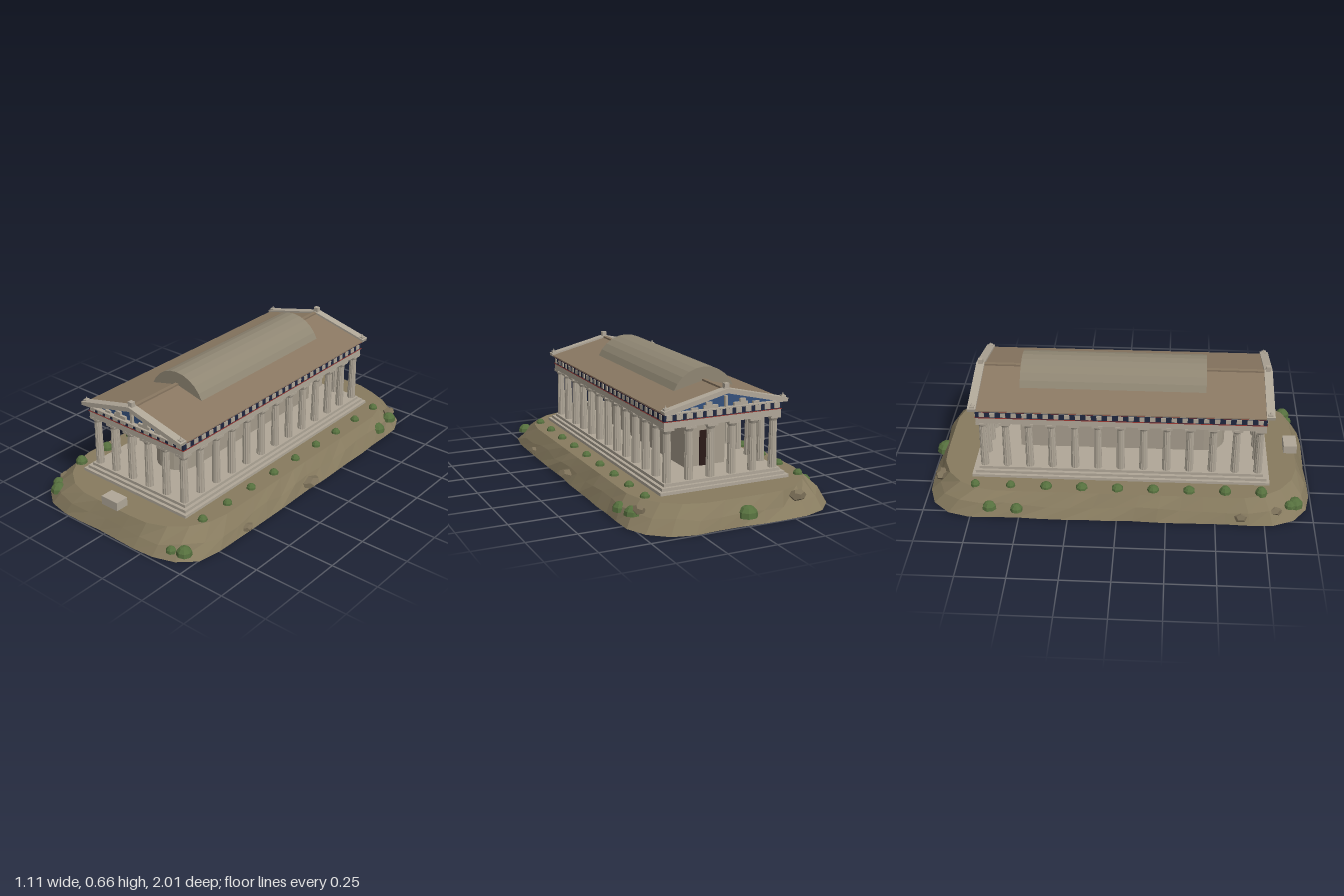
import * as THREE from 'three';

const mat = (color, side = THREE.FrontSide) => new THREE.MeshStandardMaterial({ color, side, flatShading: true });
const M = {
  stone: mat(0xb0a798), wall: mat(0xa59c8c), roof: mat(0x8a7862), vault: mat(0x8f8673), earth: mat(0x877b5f, THREE.DoubleSide),
  rock: mat(0x7d7159), green: mat(0x56703e, THREE.DoubleSide), blue: mat(0x34507c), navy: mat(0x1f2740), red: mat(0x94352f), door: mat(0x2a1a18),
};

let seed = 7;
const rnd = () => (seed = (seed * 16807) % 2147483647) / 2147483647;

function add(parent, name, geo, material, x = 0, y = 0, z = 0) {
  const m = new THREE.Mesh(geo, material);
  m.name = name;
  m.position.set(x, y, z);
  parent.add(m);
  return m;
}
// Box given by its bottom height
const box = (p, name, w, h, d, material, x, y, z) =>
  add(p, name, new THREE.BoxGeometry(w, h, d), material, x, y + h / 2, z);

// Profile in x-y, extruded from z0 to z1
function prism(p, name, pts, z0, z1, material) {
  const s = new THREE.Shape(pts.map(([x, y]) => new THREE.Vector2(x, y)));
  return add(p, name, new THREE.ExtrudeGeometry(s, { depth: z1 - z0, bevelEnabled: false }), material, 0, 0, z0);
}

// Hollow rounded mound, open below, lofted through rings: half width, half length, corner radius, height, roughness
function moundGeometry() {
  const N = 48, pos = [], idx = [];
  const rings = [[0.535, 0.99, 0.24, 0, 0.008], [0.507, 0.962, 0.27, 0.06, 0.012], [0.468, 0.928, 0.31, 0.12, 0]];
  for (const [w, l, r, y, rough] of rings) {
    const path = new THREE.Path();
    [[1, 1], [-1, 1], [-1, -1], [1, -1]].forEach(([sx, sz], k) =>
      path.absarc(sx * (w - r), sz * (l - r), r, k * Math.PI / 2, (k + 1) * Math.PI / 2, false));
    path.closePath();
    path.getSpacedPoints(N).slice(0, N).forEach((q) => {
      const j = 1 + (rnd() - 0.5) * 2 * rough;
      pos.push(q.x * j, y + (y ? (rnd() - 0.5) * rough * 2 : 0), q.y * j);
    });
  }
  const last = (rings.length - 1) * N, top = rings.length * N;
  pos.push(0, 0.12, 0);
  for (let i = 0; i < N; i++) {
    const n = (i + 1) % N;
    for (let k = 0; k < last; k += N) idx.push(k + i, k + N + i, k + n, k + n, k + N + i, k + N + n);
    idx.push(top, last + n, last + i);
  }
  const g = new THREE.BufferGeometry();
  g.setAttribute('position', new THREE.Float32BufferAttribute(pos, 3));
  g.setIndex(idx);
  g.computeVertexNormals();
  return g;
}

// Fluted, tapering shaft: every other edge is pulled inward
function shaftGeometry(h) {
  const g = new THREE.CylinderGeometry(0.0185, 0.022, h, 24, 1, true), p = g.attributes.position;
  for (let i = 0; i < p.count; i++) {
    const k = (i % 25) % 2 ? 0.9 : 1;
    p.setX(i, p.getX(i) * k);
    p.setZ(i, p.getZ(i) * k);
  }
  g.computeVertexNormals();
  return g;
}

export function createModel() {
  seed = 7;
  const model = new THREE.Group();
  add(model, 'mound', moundGeometry(), M.earth, -0.005);
  box(model, 'altarBlock', 0.105, 0.045, 0.07, M.stone, -0.01, 0.12, 0.905);

  const temple = new THREE.Group();
  temple.name = 'temple';
  temple.position.set(-0.01, 0, 0.01);
  model.add(temple);

  // Stepped platform
  [[0.349, 0.768], [0.333, 0.752], [0.316, 0.735]].forEach(([x, z], i) =>
    box(temple, 'step', 2 * x, 0.015, 2 * z, M.stone, 0, 0.12 + i * 0.015, 0));

  // Colonnade, 6 by 13
  const shaft = shaftGeometry(0.24), echinus = new THREE.CylinderGeometry(0.026, 0.0185, 0.016, 16);
  const abacus = new THREE.BoxGeometry(0.056, 0.012, 0.056);
  for (let i = 0; i < 6; i++) for (let j = 0; j < 13; j++) {
    if (i % 5 && j % 12) continue;
    const c = new THREE.Group();
    c.name = 'column';
    c.position.set((i - 2.5) * 0.1153, 0.165, (j - 6) * 0.1178);
    add(c, 'shaft', shaft, M.stone, 0, 0.12, 0);
    add(c, 'echinus', echinus, M.stone, 0, 0.246, 0);
    add(c, 'abacus', abacus, M.stone, 0, 0.26, 0);
    temple.add(c);
  }

  // Inner hall with rounded front and a door at the back
  box(temple, 'hall', 0.224, 0.265, 0.97, M.wall, 0, 0.165, -0.055);
  add(temple, 'hallRoundedFront', new THREE.CylinderGeometry(0.112, 0.112, 0.265, 24), M.wall, 0, 0.2975, 0.43);
  box(temple, 'backDoor', 0.06, 0.18, 0.008, M.door, 0, 0.165, -0.54);

  // Entablature
  box(temple, 'architrave', 0.63, 0.033, 1.468, M.stone, 0, 0.43, 0);
  box(temple, 'lowerBand', 0.638, 0.003, 1.476, M.red, 0, 0.463, 0);
  box(temple, 'frieze', 0.632, 0.035, 1.47, M.navy, 0, 0.466, 0);
  box(temple, 'upperBand', 0.642, 0.004, 1.48, M.red, 0, 0.501, 0);
  box(temple, 'cornice', 0.65, 0.006, 1.53, M.stone, 0, 0.505, 0);
  for (const s of [-1, 1]) {
    for (let i = 0; i < 12; i++)
      box(temple, 'metope', 0.031, 0.026, 0.008, M.stone, (i - 5.5) * 0.0525, 0.47, s * 0.735);
    for (let i = 0; i < 27; i++)
      box(temple, 'metope', 0.008, 0.024, 0.026, M.stone, s * 0.316, 0.471, (i - 13) * 0.054);
  }

  // Gabled roof, ridge and raised barrel vault
  prism(temple, 'roof', [[-0.328, 0.508], [0.328, 0.508], [0.328, 0.513], [0, 0.593], [-0.328, 0.513]], -0.735, 0.735, M.roof);
  box(temple, 'ridge', 0.02, 0.014, 1.46, M.roof, 0, 0.586, 0);
  const arc = [], R = 0.177, half = Math.asin(0.164 / R);
  for (let i = 0; i <= 10; i++) {
    const a = half * (1 - i / 5);
    arc.push([R * Math.sin(a), 0.483 + R * Math.cos(a)]);
  }
  prism(temple, 'barrelVault', arc, -0.525, 0.43, M.vault);

  // Pediments at both ends
  for (const turn of [0, Math.PI]) {
    const p = new THREE.Group();
    p.name = 'pediment';
    p.rotation.y = turn;
    temple.add(p);
    prism(p, 'tympanum', [[-0.3, 0.508], [0.3, 0.508], [0, 0.583]], 0.73, 0.742, M.blue);
    prism(p, 'rakingCornice', [[-0.328, 0.506], [-0.29, 0.509], [0, 0.579], [0.29, 0.509], [0.328, 0.506],
      [0.332, 0.523], [0, 0.603], [-0.332, 0.523]], 0.728, 0.771, M.stone);
    box(p, 'standingFigure', 0.013, 0.054, 0.016, M.stone, 0, 0.511, 0.749);
    for (const s of [-1, 1]) {
      box(p, 'seatedFigure', 0.03, 0.032, 0.014, M.stone, s * 0.09, 0.511, 0.748);
      box(p, 'recliningFigure', 0.075, 0.016, 0.014, M.stone, s * 0.08, 0.511, 0.748);
      box(p, 'smallFigure', 0.035, 0.011, 0.012, M.stone, s * 0.165, 0.511, 0.747);
      box(p, 'cornerOrnamentBase', 0.022, 0.014, 0.024, M.stone, s * 0.314, 0.52, 0.748);
      add(p, 'cornerOrnament', new THREE.ConeGeometry(0.008, 0.02, 6), M.stone, s * 0.314, 0.54, 0.748);
    }
    box(p, 'apexOrnament', 0.026, 0.027, 0.024, M.stone, 0, 0.598, 0.748);
  }

  // Shrubs: faceted domes, in rows on the plateau and scattered on the slope
  const dome = new THREE.SphereGeometry(1, 8, 3, 0, Math.PI * 2, 0, Math.PI * 0.55);
  const shrub = (x, y, z, r, h) => {
    const m = add(model, 'shrub', dome, M.green, x, y, z);
    m.scale.set(r, h, r);
    m.rotation.y = rnd() * 3;
  };
  for (let i = 0; i < 9; i++) {
    const z = (i - 4) * 0.183;
    shrub(-0.427, 0.12, z, i < 2 ? 0.025 : 0.032, i > 6 ? 0.038 : 0.028);
    shrub(0.407, 0.12, z, 0.025, 0.026);
  }
  [[-0.515, 0.047, -0.65, 0.038], [-0.525, 0.045, -0.51, 0.033], [0.49, 0.065, -0.77, 0.04], [0.495, 0.048, -0.65, 0.042],
    [-0.01, 0.045, -0.965, 0.05], [-0.412, 0.045, 0.91, 0.042], [-0.445, 0.06, 0.88, 0.03], [0.38, 0.035, 0.925, 0.028],
    [0.443, 0.038, 0.905, 0.04]].forEach(([x, y, z, r]) => shrub(x, y, z, r, r * 0.95));

  // Rocks on the slope: x, y, z and half sizes
  const stone = new THREE.DodecahedronGeometry(1);
  [[-0.3, 0.09, -0.935, 0.045, 0.03, 0.03], [0.515, 0.03, 0.01, 0.045, 0.028, 0.06], [0.52, 0.022, 0.53, 0.025, 0.02, 0.036],
    [-0.52, 0.03, 0.63, 0.02, 0.03, 0.04], [0.47, 0.09, -0.8, 0.03, 0.025, 0.04], [-0.48, 0.05, 0.8, 0.025, 0.025, 0.04],
  ].forEach(([x, y, z, a, b, c]) => add(model, 'rock', stone, M.rock, x, y, z).scale.set(a, b, c));
  return model;
}
